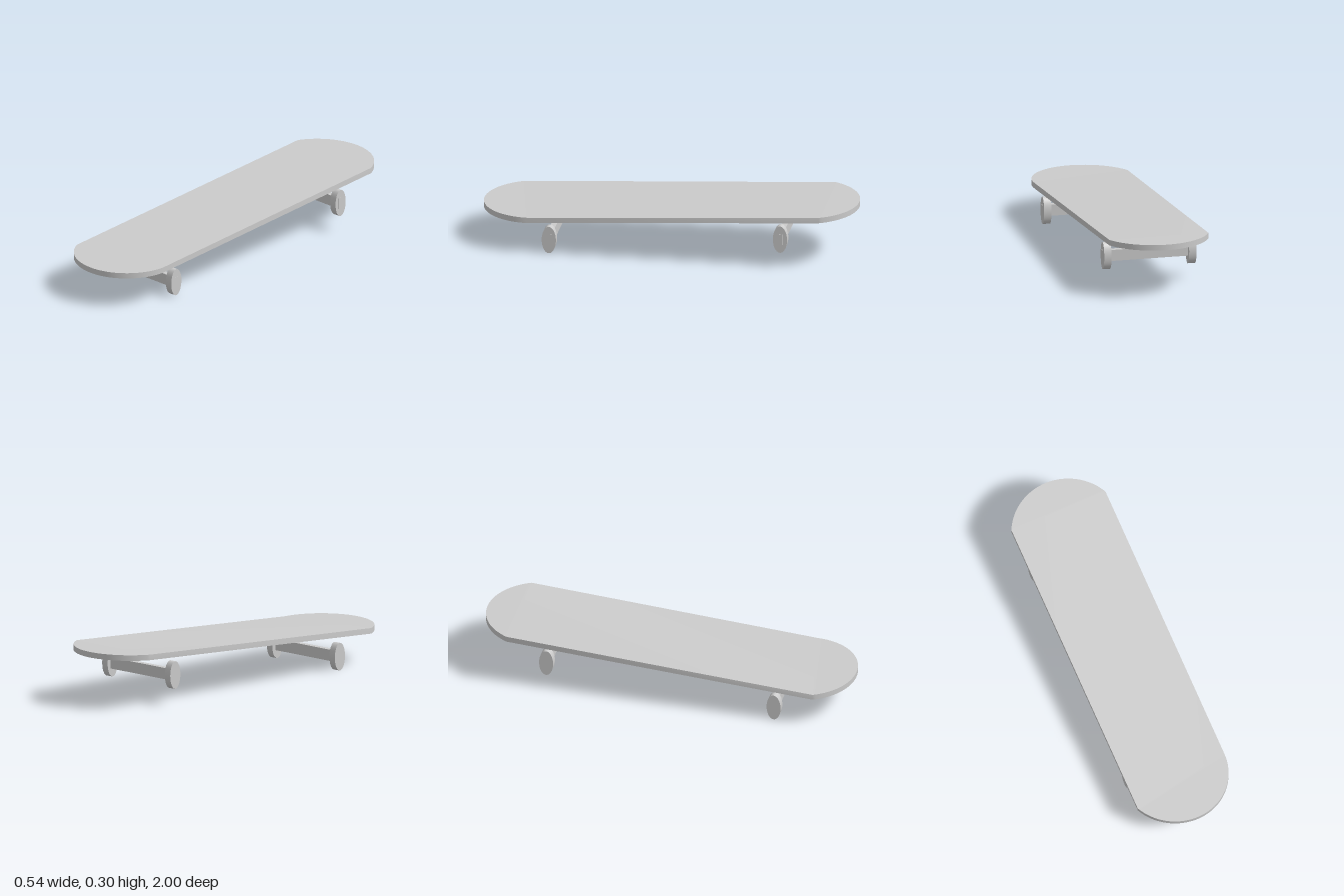
import * as THREE from 'three';
import { toCreasedNormals } from 'three/addons/utils/BufferGeometryUtils.js';

const material = new THREE.MeshStandardMaterial({ color: 0xcccccc });
const THICKNESS = 0.03;

// Point on a rounded deck end: t = 0 at the tip, 1 at the straight edge
function endPoint(t, side, end, shoulder) {
  const halfWidth = 0.27, depth = 1 - shoulder;
  const r = Math.max(halfWidth, (halfWidth ** 2 + depth ** 2) / (2 * depth));
  const a = t * Math.asin(Math.min(1, halfWidth / r));
  const y = end > 0 ? 0.2 : 0.3;
  return [side * r * Math.sin(a), y, end * (1 - r + r * Math.cos(a))];
}

// Deck: rows of left/right edge points from nose to tail, flat ends, sloping middle
function deckGeometry() {
  const rows = [], n = 20;
  for (let i = 0; i <= n; i++) rows.push([endPoint(i / n, -1, 1, 0.83), endPoint(i / n, 1, 1, 0.73)]);
  for (let i = n; i >= 0; i--) rows.push([endPoint(i / n, -1, -1, 0.83), endPoint(i / n, 1, -1, 0.83)]);
  const positions = [], index = [];
  for (const [l, r] of rows) {
    positions.push(...l, ...r, r[0], r[1] - THICKNESS, r[2], l[0], l[1] - THICKNESS, l[2]);
  }
  for (let i = 0; i < rows.length - 1; i++) {
    for (let k = 0; k < 4; k++) {
      const a = i * 4 + k, b = i * 4 + (k + 1) % 4;
      index.push(a, b, b + 4, a, b + 4, a + 4);
    }
  }
  const g = new THREE.BufferGeometry();
  g.setAttribute('position', new THREE.Float32BufferAttribute(positions, 3));
  g.setIndex(index);
  return toCreasedNormals(g, 0.6);
}

function addMesh(parent, name, geometry, x = 0, y = 0, z = 0) {
  const mesh = new THREE.Mesh(geometry, material);
  mesh.name = name;
  mesh.position.set(x, y, z);
  parent.add(mesh);
  return mesh;
}

// Axle bar with an oval wheel at each end
function wheelSet(name, y, z) {
  const set = new THREE.Group();
  set.name = name;
  set.position.set(0, y, z);
  addMesh(set, 'axle', new THREE.BoxGeometry(0.503, 0.06, 0.03), 0.001, 0.001, 0);
  const wheel = new THREE.CylinderGeometry(1, 1, 0.04, 40);
  wheel.rotateZ(Math.PI / 2).scale(1, 0.074, 0.038);
  addMesh(set, 'rightWheel', wheel, -0.231);
  addMesh(set, 'leftWheel', wheel, 0.231);
  return set;
}

export function createModel() {
  const model = new THREE.Group();
  model.name = 'skateboard';
  addMesh(model, 'deck', deckGeometry());
  model.add(wheelSet('frontWheels', 0.075, 0.614), wheelSet('rearWheels', 0.157, -0.62));
  return model;
}
